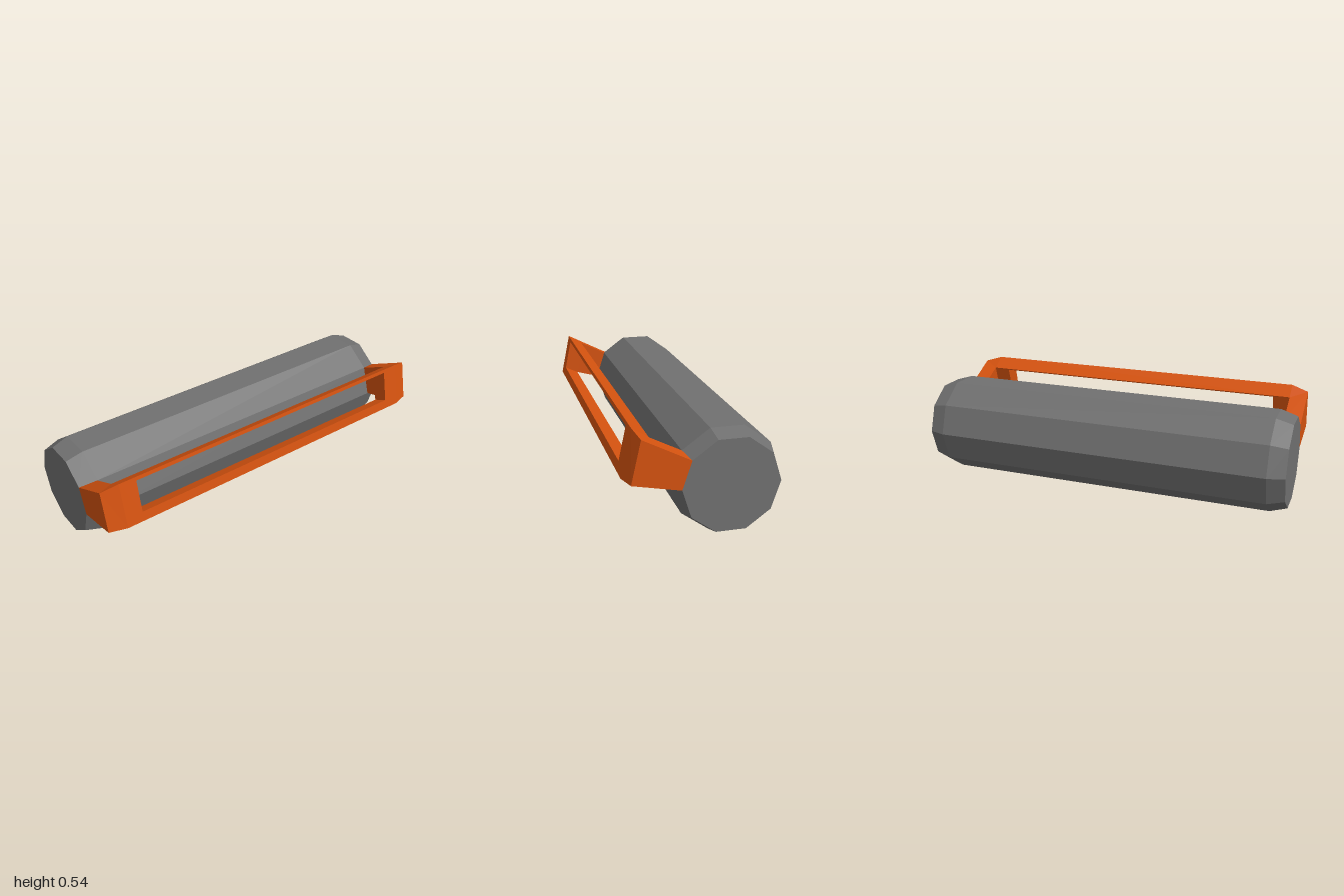
import * as THREE from 'three';

const CX = -0.117, CY = 0.252, R = 0.265, CAP_R = 0.237, BEVEL_Z = 0.91;

// Flat-faced geometry from quads given counter-clockwise from outside
function quadGeometry(quads) {
  const pos = [];
  const ab = new THREE.Vector3(), ac = new THREE.Vector3();
  const tri = (a, b, c) => {
    ab.subVectors(b, a);
    ac.subVectors(c, a);
    if (ab.cross(ac).length() < 1e-7) return;
    for (const p of [a, b, c]) pos.push(p.x, p.y, p.z);
  };
  for (const [a, b, c, d] of quads) {
    tri(a, b, c);
    tri(a, c, d);
  }
  const geo = new THREE.BufferGeometry();
  geo.setAttribute('position', new THREE.Float32BufferAttribute(pos, 3));
  geo.computeVertexNormals();
  return geo;
}

// Ten-sided drum with bevelled ends, lying along z
function drumGeometry() {
  const profile = [[0, -1], [CAP_R, -1], [R, -BEVEL_Z], [R, BEVEL_Z], [CAP_R, 1], [0, 1]]
    .map(([r, y]) => new THREE.Vector2(r, y));
  const geo = new THREE.LatheGeometry(profile, 10, Math.PI / 2);
  geo.rotateX(Math.PI / 2);
  geo.translate(CX, CY, 0);
  return geo;
}

// Handle: two arms growing from one drum facet, joined by a slotted grip
function handleGeometry() {
  const v = (x, y, z) => new THREE.Vector3(x, y, z);
  const corner = (r, deg, z) => {
    const a = THREE.MathUtils.degToRad(deg);
    return v(CX + r * Math.cos(a), CY + r * Math.sin(a), z);
  };
  const flip = (pts) => pts.map((p) => v(p.x, p.y, -p.z));

  // Cross-sections: outer top, outer bottom, inner bottom, inner top
  const inner = [v(0.3, 0.293, BEVEL_Z), v(0.25, 0.485, BEVEL_Z)];
  const half = [
    [corner(CAP_R, 36, 1), corner(CAP_R, 0, 1), corner(R, 0, BEVEL_Z), corner(R, 36, BEVEL_Z)],
    [v(0.307, 0.51, 1), v(0.353, 0.3, 1), ...inner],
    [v(0.33, 0.535, BEVEL_Z), v(0.38, 0.3, BEVEL_Z), ...inner],
  ];
  const sections = [...half, ...half.map(flip).reverse()];
  const quads = [];
  for (let i = 0; i < 5; i++) {
    const p = sections[i], q = sections[i + 1];
    for (let j = 0; j < 4; j++) {
      if (i === 2 && j % 2 === 0) continue; // slotted faces follow below
      const k = (j + 1) % 4;
      quads.push([p[j], p[k], q[k], q[j]]);
    }
  }

  // Slot through the grip, widening towards the inside
  const ring = (a, b) => {
    for (let k = 0; k < 4; k++) {
      const n = (k + 1) % 4;
      quads.push([a[k], a[n], b[n], b[k]]);
    }
  };
  const loop = (a, b) => {
    const [a2, b2] = flip([a, b]);
    return [a, b, b2, a2];
  };
  const z = 0.82;
  const slotOut = loop(v(0.334, 0.516, z), v(0.3695, 0.349, z));
  const slotInTop = v(0.252, 0.479, z), slotInBottom = v(0.295, 0.314, z);
  ring(loop(half[2][0], half[2][1]), slotOut);
  ring(slotOut, loop(slotInTop, slotInBottom));
  ring(loop(inner[0], inner[1]), loop(slotInBottom, slotInTop));
  return quadGeometry(quads);
}

export function createModel() {
  const grey = new THREE.MeshStandardMaterial({ color: 0x707070, flatShading: true });
  grey.name = 'grey metal';
  const orange = new THREE.MeshStandardMaterial({ color: 0xd4520f, flatShading: true });
  orange.name = 'orange paint';

  const group = new THREE.Group();
  group.name = 'drumWithHandle';
  const add = (name, geo, mat) => {
    const mesh = new THREE.Mesh(geo, mat);
    mesh.name = name;
    group.add(mesh);
  };
  add('drum', drumGeometry(), grey);
  add('handle', handleGeometry(), orange);
  return group;
}
